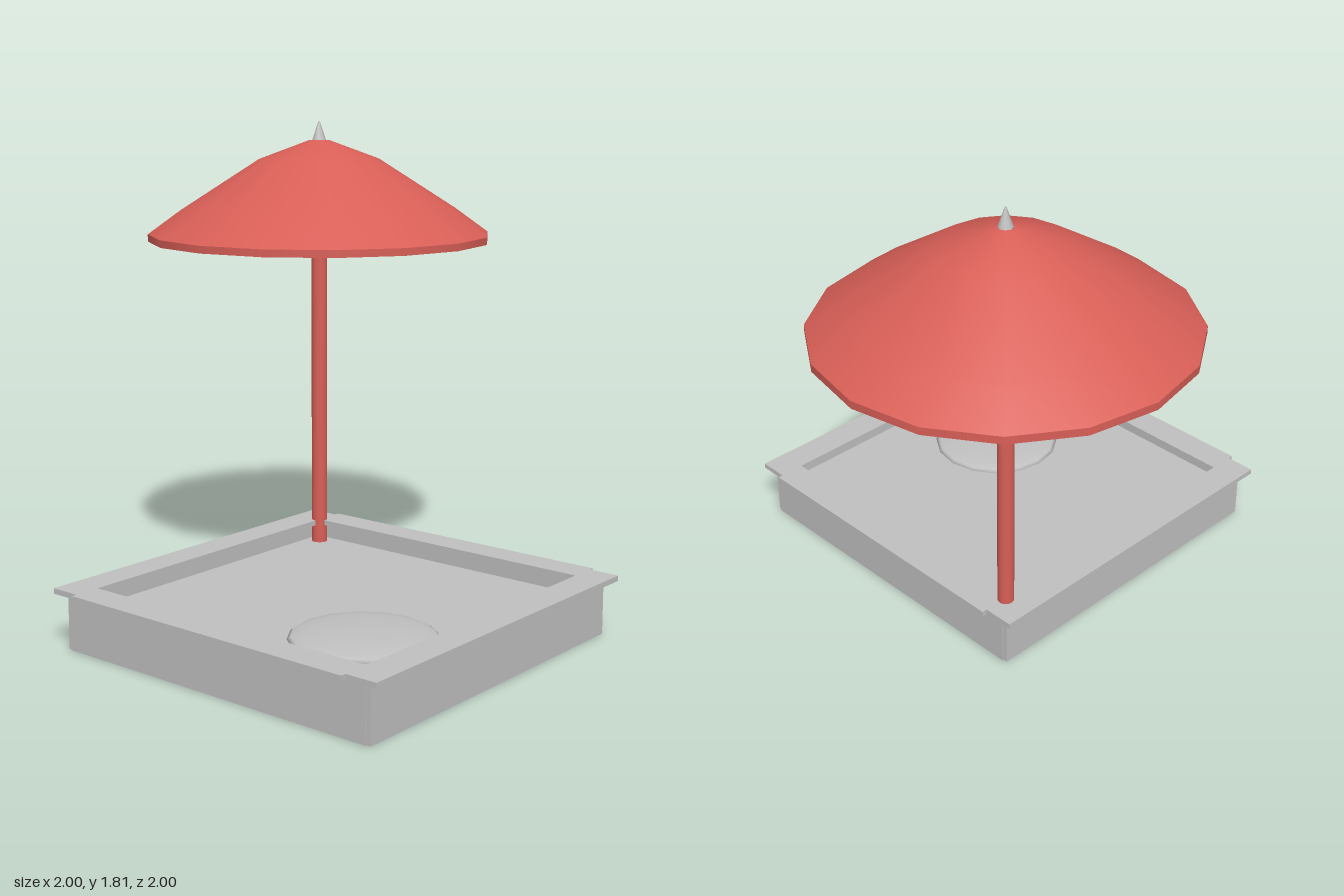
import * as THREE from 'three';

export function createModel() {
  const model = new THREE.Group();
  const red = new THREE.MeshStandardMaterial({ color: 0xd85f57 });
  red.name = 'red';
  const grey = new THREE.MeshStandardMaterial({ color: 0xc0c0c0 });
  grey.name = 'grey';

  const add = (name, geometry, material, x, y, z, parent = model) => {
    const mesh = new THREE.Mesh(geometry, material);
    mesh.name = name;
    mesh.position.set(x, y, z);
    parent.add(mesh);
    return mesh;
  };
  const box = (w, h, d) => new THREE.BoxGeometry(w, h, d);

  // Sandbox, open underneath, centred on its own origin
  const sandbox = new THREE.Group();
  sandbox.name = 'sandbox';
  sandbox.position.set(0.278, 0, 0.278);
  model.add(sandbox);
  const half = 0.677, wall = 0.015, hole = 0.602;
  for (const s of [-1, 1]) {
    // Thin wall boards
    add('sideWall', box(wall, 0.2, 2 * half - 0.01), grey, s * (half - wall / 2), 0.1, 0, sandbox);
    add('endWall', box(2 * (half - wall), 0.2, wall), grey, 0, 0.1, s * (half - wall / 2), sandbox);
    // Flat seat boards overhanging the walls
    add('sideSeat', box(0.118, 0.02, 1.4), grey, s * (hole + 0.059), 0.21, 0, sandbox);
    add('endSeat', box(2 * hole, 0.02, 0.118), grey, 0, 0.21, s * (hole + 0.059), sandbox);
  }

  // Sand and its low mound
  const inner = 2 * (half - wall);
  add('sand', box(inner, 0.005, inner), grey, 0, 0.1275, 0, sandbox);
  const mound = new THREE.SphereGeometry(0.26, 16, 5, 0, Math.PI * 2, 0, Math.PI / 2);
  mound.scale(1, 0.12, 1);
  add('sandMound', mound, grey, 0.275, 0.13, 0.205, sandbox);

  // Parasol
  const parasol = new THREE.Group();
  parasol.name = 'parasol';
  parasol.position.set(-0.329, 0, -0.329);
  model.add(parasol);
  add('pole', new THREE.CylinderGeometry(0.031, 0.031, 1.25, 16), red, 0, 0.735, 0, parasol);
  const profile = [[0.671, 1.38], [0.54, 1.475], [0.235, 1.67], [0.04, 1.742], [0, 1.745]]
    .map(([r, y]) => new THREE.Vector2(r, y));
  add('canopy', new THREE.LatheGeometry(profile, 16), red, 0, 0, 0, parasol);
  add('canopyEdge', new THREE.CylinderGeometry(0.671, 0.671, 0.028, 16, 1, true), red, 0, 1.366, 0, parasol);
  const underside = new THREE.CircleGeometry(0.671, 16);
  underside.rotateX(Math.PI / 2);
  add('canopyUnderside', underside, red, 0, 1.352, 0, parasol);
  add('finial', new THREE.CylinderGeometry(0.003, 0.028, 0.075, 8), grey, 0, 1.777, 0, parasol);

  return model;
}
